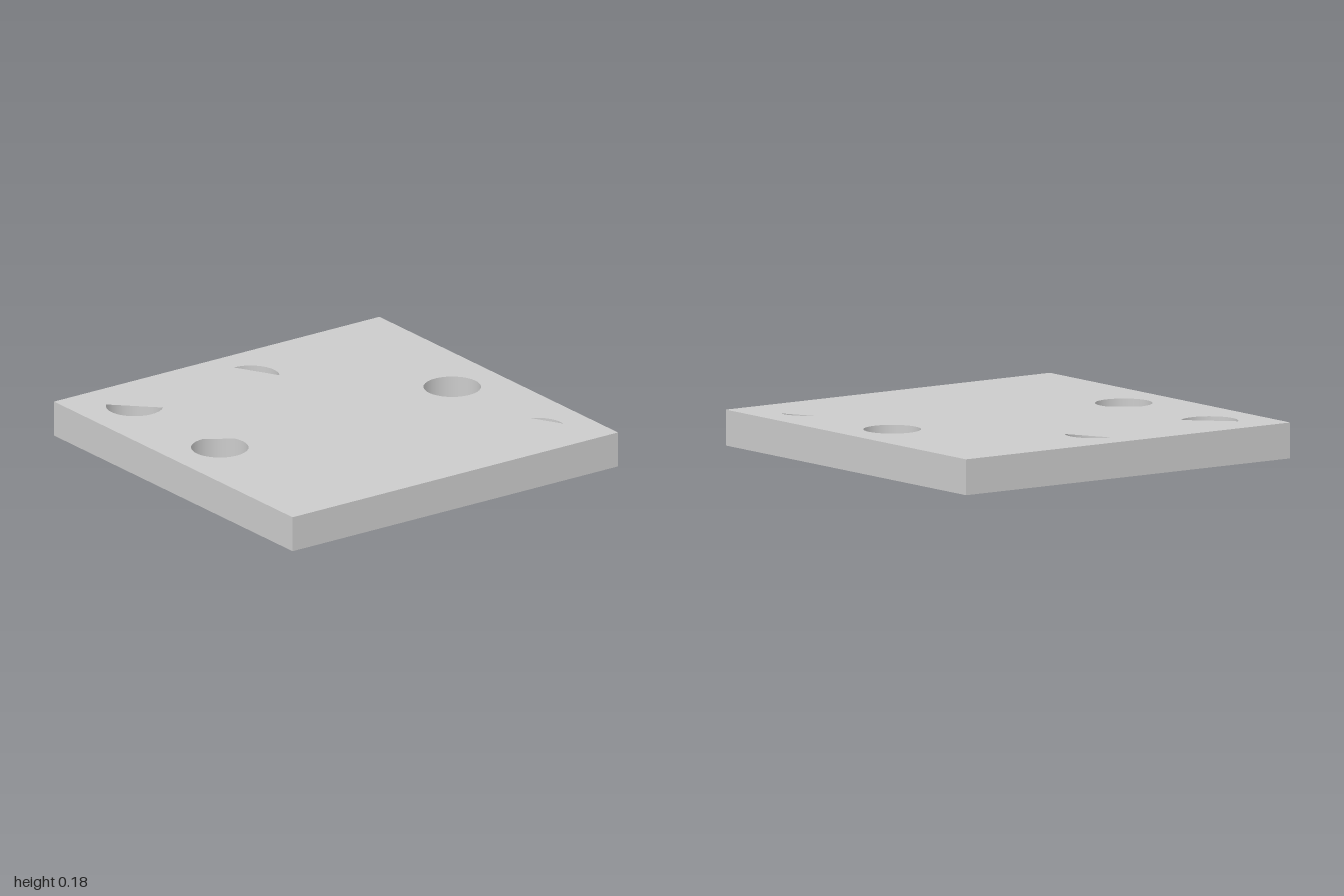
import * as THREE from 'three';

const H = 0.18, R = 1 / 7, P = 5 / 7, SEG = 32;

export function createModel() {
  const group = new THREE.Group();
  const mat = new THREE.MeshStandardMaterial({ color: 0xcccccc, side: THREE.DoubleSide });
  const add = (name, geo, x = 0, y = 0, z = 0) => {
    const mesh = new THREE.Mesh(geo, mat);
    mesh.name = name;
    mesh.position.set(x, y, z);
    group.add(mesh);
    return mesh;
  };

  // Square face; each opening is [x, z, first, last], an arc in 32nds of a turn closed by a chord
  const face = (dir, openings) => {
    const shape = new THREE.Shape([[-1, -1], [1, -1], [1, 1], [-1, 1]].map(([x, y]) => new THREE.Vector2(x, y)));
    for (const [x, z, first, last] of openings) {
      const pts = [];
      for (let i = first; i <= last; i++) {
        const a = (i / SEG) * Math.PI * 2;
        pts.push(new THREE.Vector2(x + R * Math.cos(a), -dir * (z + R * Math.sin(a))));
      }
      shape.holes.push(new THREE.Path(pts));
    }
    return new THREE.ShapeGeometry(shape).rotateX(-dir * Math.PI / 2);
  };

  // Top and bottom faces, with full and partly covered holes
  add('topFace', face(1, [
    [0, -P, 0, 31],
    [P, -P, 18, 25],
    [-P, 0, 16, 27],
    [-P, P, -4, 12],
    [0, P, -10, 16],
  ]), 0, H, 0);
  add('bottomFace', face(-1, [
    [0, -P, 0, 31],
    [-P, 0, 0, 31],
    [P, -P, 13, 28],
    [0, 0, 13, 28],
  ]));

  // Four outer side walls
  for (let i = 0; i < 4; i++) {
    const wall = new THREE.PlaneGeometry(2, H).translate(0, H / 2, 1).rotateY(i * Math.PI / 2);
    add('sideWall', wall);
  }

  // Hole walls on a three by three grid
  for (const x of [-P, 0, P]) {
    for (const z of [-P, 0, P]) {
      // start on the same angles as the face openings
      add('holeWall', new THREE.CylinderGeometry(R, R, H, SEG, 1, true), x, H / 2, z);
    }
  }
  return group;
}
